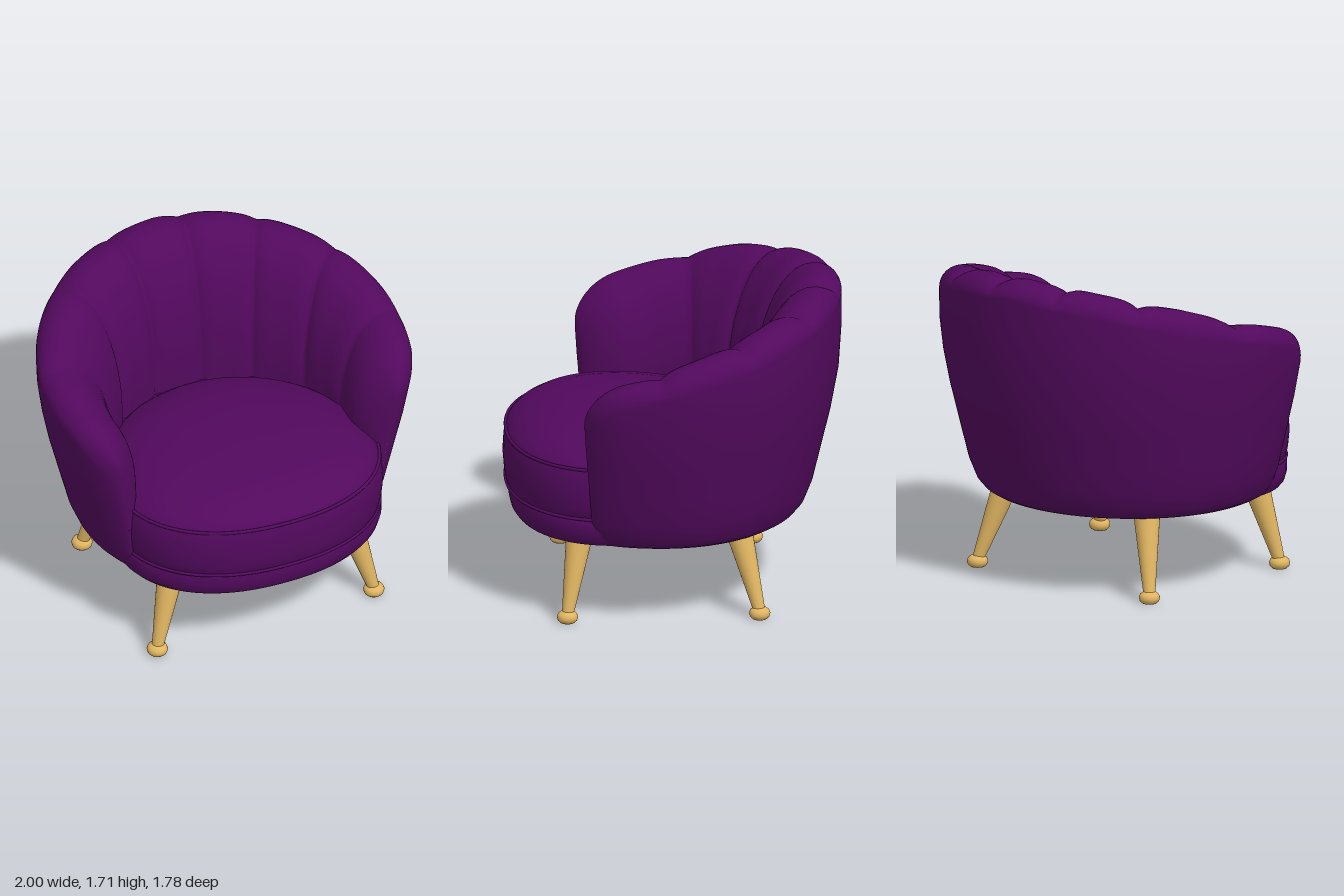
import * as THREE from 'three';

const rad = THREE.MathUtils.degToRad;

// Piecewise linear lookup in a list of [input, output] pairs
function lookup(table, v) {
  if (v <= table[0][0]) return table[0][1];
  for (let i = 1; i < table.length; i++) {
    const [a, p] = table[i - 1], [b, q] = table[i];
    if (v <= b) return p + (q - p) * (v - a) / (b - a);
  }
  return table[table.length - 1][1];
}

// Shell rules: angle is measured in degrees from the middle of the back
const END = 120, CAP = 104;
const SEAMS = [-END, -80, -42, -16, 8.5, 33, 60, 91, END];
const INNER = [[-END, -END], [-80, -62], [-42, -42], [60, 60], [91, 87], [END, END]];
const RIDGE = [[0, 1.715], [20, 1.7], [33, 1.67], [60, 1.595], [80, 1.515], [90, 1.475], [106, 1.395], [END, 1.33]];
const EDGE = [[0, 1.63], [33, 1.57], [60, 1.475], [90, 1.36], [106, 1.28], [END, 1.2]];
const FLARE = [[0.44, 0.73], [0.46, 0.765], [0.5, 0.8], [0.6, 0.842], [0.8, 0.893], [1, 0.943], [1.2, 0.983], [1.36, 1]];

// One closed wall section: up the outside, over the rim, down the inside
function shellSection(deg, bulge) {
  const abs = Math.abs(deg), sin = Math.sin(rad(deg)), cos = Math.cos(rad(deg));
  const c = Math.max(0, (abs - CAP) / (END - CAP));
  const w = Math.sqrt(Math.max(0, 1 - c * c));
  const drop = 0.18 * (1 - w), groove = 1 - bulge;
  const ridge = lookup(RIDGE, abs) - drop - 0.035 * groove;
  const edge = lookup(EDGE, abs) - drop;

  // Inner and outer plan directions, with straighter arms past the side points
  const inner = lookup(INNER, deg);
  const innerX = 0.62 * (Math.abs(inner) > 90 ? Math.sign(deg) : Math.sin(rad(inner)));
  const innerZ = 0.15 - 0.58 * Math.cos(rad(inner));
  const outer = abs > 90 ? Math.sign(deg) * Math.abs(sin) ** 0.7 : sin;

  const pts = [];
  for (const y of [0.44, 0.46, 0.5, 0.6, 0.75, 0.9]) pts.push([1, y]);
  for (const f of [0, 0.35, 0.7]) pts.push([1, 1 + (edge - 1) * f]);
  for (let i = 0; i <= 6; i++) {
    const t = i / 6 * Math.PI / 2;
    pts.push([0.72 + 0.28 * Math.cos(t), edge + (ridge - edge) * Math.sin(t)]);
  }
  for (let i = 1; i <= 12; i++) {
    const t = (1 - i / 12) * Math.PI / 2;
    const s = 0.72 * (1 - Math.cos(t)) + 0.08 * groove * Math.cos(t);
    pts.push([s, 0.95 + (ridge - 0.95) * Math.sin(t)]);
  }
  pts.push([0.03, 0.6], [0.1, 0.44]);

  return pts.map(([s, y]) => {
    const k = lookup(FLARE, y), f = 0.65 + (s - 0.65) * w;
    const outX = k * outer, outZ = 0.05 - 0.94 * k * cos;
    return [innerX + (outX - innerX) * f, y, innerZ + (outZ - innerZ) * f];
  });
}

// Curved back and arms, padded in vertical channels
function shellGeometry() {
  const rows = [];
  for (let n = 0; n < SEAMS.length - 1; n++) {
    const a = SEAMS[n], b = SEAMS[n + 1];
    const first = n === 0, last = n === SEAMS.length - 2, steps = first || last ? 32 : 22;
    for (let i = n ? 1 : 0; i <= steps; i++) {
      let u = i / steps, v = u;
      if (first) { u = 1 - Math.cos(u * Math.PI / 2); v = 0.5 + u / 2; }
      if (last) { u = Math.sin(u * Math.PI / 2); v = u / 2; }
      rows.push(shellSection(a + (b - a) * u, 1 - Math.abs(2 * v - 1) ** 4));
    }
  }
  const m = rows[0].length, index = [];
  for (let i = 0; i < rows.length - 1; i++) {
    for (let j = 0; j < m; j++) {
      const p = i * m + j, q = i * m + (j + 1) % m;
      index.push(p, q, p + m, q, q + m, p + m);
    }
  }
  const g = new THREE.BufferGeometry();
  g.setAttribute('position', new THREE.Float32BufferAttribute(rows.flat(2), 3));
  g.setIndex(index);
  g.computeVertexNormals();
  return g;
}

// Seat plan: squarish front half, longer elliptical back half
function planPoint(c, s, r, halfWidth, front, back) {
  const e = s > 0 ? 0.9 : 1;
  const x = Math.sign(c) * Math.abs(c) ** e, z = Math.sign(s) * Math.abs(s) ** e;
  return [x * r * halfWidth, 0.3 + z * r * (s > 0 ? front : back)];
}

// Padded seat part from [scale, height] rings
function padGeometry(rings, ...plan) {
  const g = new THREE.LatheGeometry(rings.map(([r, y]) => new THREE.Vector2(r, y)), 80, Math.PI);
  const p = g.attributes.position;
  for (let i = 0; i < p.count; i++) {
    const r = Math.hypot(p.getX(i), p.getZ(i)) || 1e-6;
    const [x, z] = planPoint(p.getX(i) / r, p.getZ(i) / r, r, ...plan);
    p.setXYZ(i, x, p.getY(i), z);
  }
  g.computeVertexNormals();
  return g;
}

// Piping cord along the cushion plan
function pipingGeometry(y, scale, ...plan) {
  const pts = [];
  for (let i = 0; i < 64; i++) {
    const a = (i + 0.5) / 64 * Math.PI * 2;
    const [x, z] = planPoint(Math.cos(a), Math.sin(a), scale, ...plan);
    pts.push(new THREE.Vector3(x, y, z));
  }
  return new THREE.TubeGeometry(new THREE.CatmullRomCurve3(pts, true), 140, 0.009, 8, true);
}

export function createModel() {
  const model = new THREE.Group();
  model.name = 'armchair';
  const fabric = new THREE.MeshStandardMaterial({ color: 0x52095d });
  fabric.name = 'purple fabric';
  const wood = new THREE.MeshStandardMaterial({ color: 0xe1b662 });
  wood.name = 'light wood';
  const add = (name, geometry, material, parent = model) => {
    const mesh = new THREE.Mesh(geometry, material);
    mesh.name = name;
    parent.add(mesh);
    return mesh;
  };

  add('channelledShell', shellGeometry(), fabric);

  // Seat base and domed cushion
  add('seatBase', padGeometry([[0, 0.438], [0.9, 0.438], [0.95, 0.448], [0.98, 0.472], [1, 0.52],
    [1, 0.57], [0.98, 0.6], [0, 0.61]], 0.735, 0.56, 0.93), fabric);
  const cushionPlan = [0.735, 0.585, 0.76];
  add('seatCushion', padGeometry([[0, 0.585], [0.95, 0.585], [0.98, 0.6], [0.995, 0.65], [1.006, 0.73],
    [0.998, 0.81], [0.98, 0.865], [0.95, 0.892], [0.9, 0.922], [0.8, 0.96], [0.65, 0.99],
    [0.45, 1.008], [0.22, 1.017], [0, 1.02]], ...cushionPlan), fabric);
  add('upperPiping', pipingGeometry(0.87, 0.98, ...cushionPlan), fabric);
  add('lowerPiping', pipingGeometry(0.595, 0.982, ...cushionPlan), fabric);

  // Splayed tapered legs with rounded feet
  const footProfile = [[0, 0], [0.038, 0], [0.051, 0.012], [0.056, 0.03], [0.05, 0.047], [0.033, 0.06], [0, 0.066]]
    .map(([r, y]) => new THREE.Vector2(r, y));
  const up = new THREE.Vector3(0, 1, 0);
  for (const [place, topX, topZ, footX, footZ] of [['front', 0.515, 0.5, 0.625, 0.568], ['back', 0.485, -0.335, 0.597, -0.442]]) {
    for (const side of [1, -1]) {
      const leg = new THREE.Group();
      leg.name = place + (side > 0 ? 'LeftLeg' : 'RightLeg');
      const top = new THREE.Vector3(side * topX, 0.46, topZ);
      const foot = new THREE.Vector3(side * footX, 0.035, footZ);
      const dir = top.clone().sub(foot);
      const post = add('post', new THREE.CylinderGeometry(0.072, 0.03, dir.length(), 24), wood, leg);
      post.position.copy(top).add(foot).multiplyScalar(0.5);
      post.quaternion.setFromUnitVectors(up, dir.normalize());
      add('foot', new THREE.LatheGeometry(footProfile, 24), wood, leg).position.set(foot.x, 0, foot.z);
      model.add(leg);
    }
  }
  return model;
}
